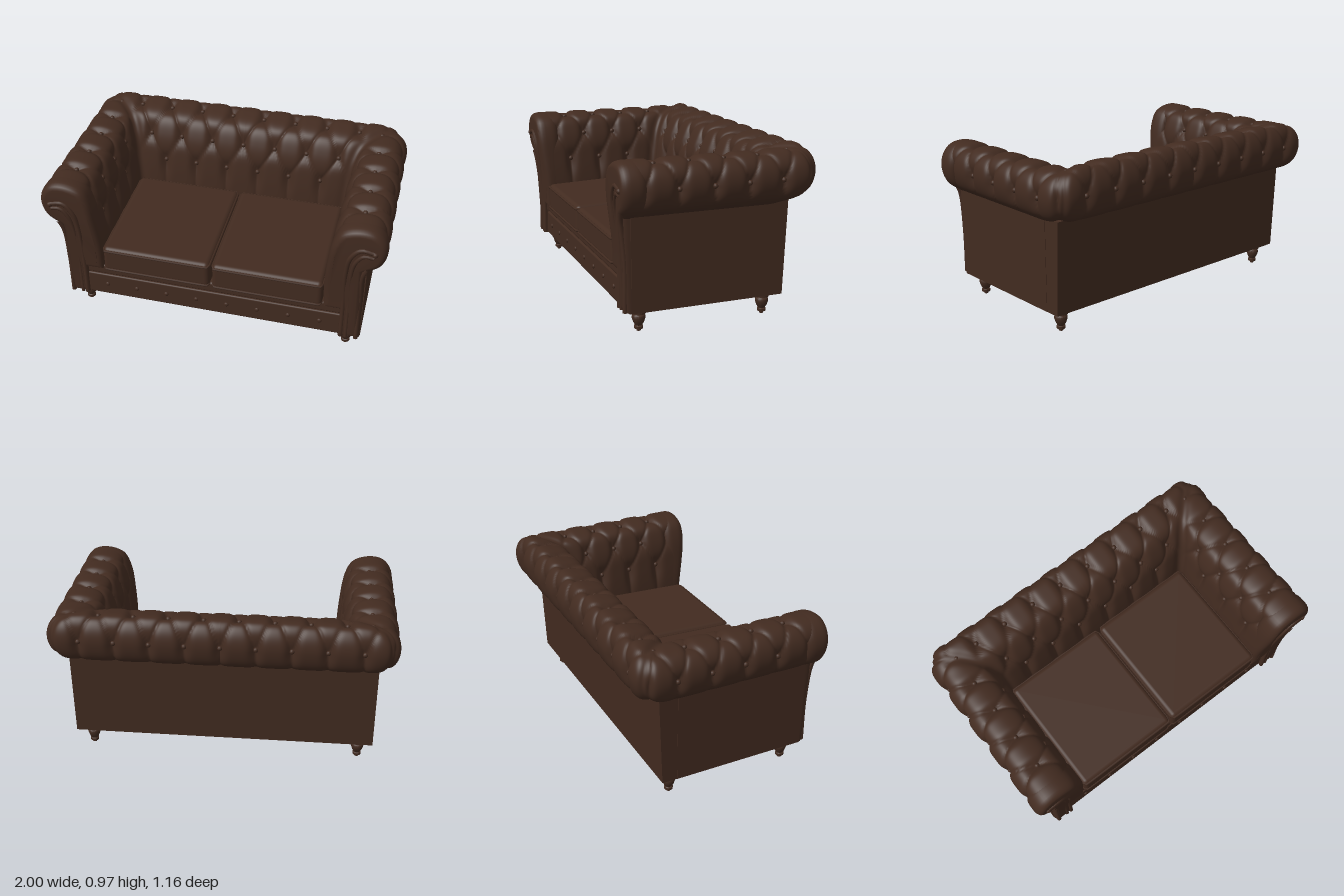
import * as THREE from 'three';
import { mergeVertices, toCreasedNormals } from 'three/addons/utils/BufferGeometryUtils.js';
import { RoundedBoxGeometry } from 'three/addons/geometries/RoundedBoxGeometry.js';

const leather = new THREE.MeshStandardMaterial({ color: 0x422b20 });
leather.name = 'brown leather';

const smooth = THREE.MathUtils.smoothstep;
const curve = (pts) => new THREE.CatmullRomCurve3(pts.map(([a, b, c = 0]) => new THREE.Vector3(a, b, c)));

// Matching roll profiles (distance outwards, height) for the arms and the back
const armProfile = curve([[0.67, 0.33], [0.665, 0.5], [0.675, 0.66], [0.7, 0.83], [0.745, 0.915], [0.84, 0.95],
  [0.93, 0.938], [0.985, 0.88], [1.0, 0.8], [0.97, 0.71], [0.89, 0.65]]);
const backProfile = curve([[0.22, 0.33], [0.22, 0.5], [0.235, 0.66], [0.27, 0.83], [0.33, 0.93], [0.43, 0.965],
  [0.51, 0.967], [0.56, 0.91], [0.578, 0.82], [0.54, 0.71], [0.41, 0.65]]);
const SPAN = 10;
const PITCH = 0.2;
const ROW_AT = [8, 5, 3, 2]; // profile position of each button row, outside to inside
const ROLL_FRONT = 0.48;

function mesh(name, geometry, parent, x = 0, y = 0, z = 0) {
  const m = new THREE.Mesh(geometry, leather);
  m.name = name;
  m.position.set(x, y, z);
  parent.add(m);
  return m;
}

function rowOf(i) {
  if (i >= 8) return 0;
  if (i >= 5) return (8 - i) / 3;
  if (i >= 3) return 1 + (5 - i) / 2;
  return Math.min(3, 2 + (3 - i));
}

// Depth of the diamond tufting: creases along the diagonals, deep at the buttons
function tuftDepth(i, along) {
  const row = rowOf(i);
  const p = along + row / 2, q = along - row / 2;
  const dp = Math.abs(p - Math.round(p)), dq = Math.abs(q - Math.round(q));
  const beyond = Math.max(0, i - 8, 2 - i);
  const pleat = 0.013 * Math.exp(-Math.min(dp, dq) / 0.07);
  const dimple = 0.026 * Math.exp(-(dp * dp + dq * dq) / 0.05) * Math.exp(-((beyond * 1.5) ** 2));
  return (pleat + dimple) * (1 - smooth(i, 9, 10));
}

// Half of the U-shaped tufted roll: from the arm front, round the corner, to the middle of the back
function tuftedRollGeometry() {
  const NT = 90, NS = 110, pos = [], depth = [], index = [];
  for (let ti = 0; ti <= NT; ti++) {
    const t = ti / NT, i = t * SPAN;
    const arm = armProfile.getPoint(t), back = backProfile.getPoint(t);
    const X = arm.x, Z = back.x, r = 0.03 + 0.11 * smooth(i, 4, 8);
    for (let s = 0; s <= 2 * NS; s++) {
      const u = s <= NS ? -(ROLL_FRONT + Z) * (1 - s / NS) : X * (s / NS - 1);
      let x = u < 0 ? X : X - u, z = u < 0 ? -Z - u : -Z;
      const along = u < 0 ? (z - 0.05) / PITCH : x / PITCH;
      if (Math.abs(u) < r) {
        const w = (u + r) / (2 * r);
        x = X - r * w * w;
        z = -Z + r * (1 - w) * (1 - w);
      }
      pos.push(x, THREE.MathUtils.lerp(arm.y, back.y, smooth(u, -0.15, 0.15)), z);
      const seam = Math.exp(-((u / 0.04) ** 2));
      depth.push(tuftDepth(i, along) * (1 - seam) + 0.014 * seam);
      if (ti < NT && s < 2 * NS) {
        const a = ti * (2 * NS + 1) + s, b = a + 2 * NS + 1;
        index.push(a, b, a + 1, b, b + 1, a + 1);
      }
    }
  }
  const g = new THREE.BufferGeometry();
  g.setAttribute('position', new THREE.Float32BufferAttribute(pos, 3));
  g.setIndex(index);
  g.computeVertexNormals();
  const P = g.attributes.position, N = g.attributes.normal;
  for (let k = 0; k < P.count; k++) {
    P.setXYZ(k, P.getX(k) - N.getX(k) * depth[k], P.getY(k) - N.getY(k) * depth[k], P.getZ(k) - N.getZ(k) * depth[k]);
  }
  g.computeVertexNormals();
  return g;
}

// Buttons sunk into every crossing of the tufting
function addTuftButtons(parent) {
  const ball = new THREE.SphereGeometry(0.015, 10, 8);
  const sunk = (profile, i) => {
    const p = profile.getPoint(i / SPAN), d = profile.getTangent(i / SPAN);
    return [p.x + d.y * 0.032, p.y - d.x * 0.032];
  };
  ROW_AT.forEach((i, row) => {
    const [ax, ay] = sunk(armProfile, i), [bz, by] = sunk(backProfile, i);
    const shift = (row % 2) * PITCH / 2;
    for (let z = 0.45 - shift; z > -bz + 0.06; z -= PITCH) mesh('tuftButton', ball, parent, ax, ay, z);
    for (let x = shift; x < ax - 0.06; x += PITCH) mesh('tuftButton', ball, parent, x, by, -bz);
  });
  mesh('cornerButton', ball, parent, 0.84, 0.935, -0.43);
}

// The arm front leans forward towards the scroll
const lean = (y) => 0.045 * smooth(y, 0.4, 0.85);

function armFrontGeometry() {
  const outline = armProfile.getPoints(50).map((p) => new THREE.Vector2(p.x, p.y));
  outline.push(new THREE.Vector2(0.895, 0.13), new THREE.Vector2(0.77, 0.13), new THREE.Vector2(0.77, 0.33));
  let g = new THREE.ExtrudeGeometry(new THREE.Shape(outline), {
    depth: 0.025, bevelThickness: 0.035, bevelSize: 0.035, bevelOffset: -0.035, bevelSegments: 5, steps: 1 });
  g.translate(0, 0, 0.465);
  const P = g.attributes.position;
  for (let k = 0; k < P.count; k++) {
    P.setZ(k, P.getZ(k) + lean(P.getY(k)) * (P.getZ(k) - 0.43) / 0.095);
  }
  g.deleteAttribute('uv');
  g.deleteAttribute('normal');
  g = mergeVertices(g, 1e-4);
  return toCreasedNormals(g, 0.7);
}

function frontPiping(points, radius) {
  const path = curve(points.map(([x, y]) => [x, y, 0.518 + lean(y)]));
  return new THREE.TubeGeometry(path, 40, radius, 8);
}

function cushionGeometry() {
  const g = new RoundedBoxGeometry(0.655, 0.17, 0.74, 4, 0.03);
  const P = g.attributes.position;
  for (let k = 0; k < P.count; k++) {
    if (P.getY(k) > 0) P.setY(k, P.getY(k) + 0.025 * (0.5 - P.getZ(k) / 0.74));
  }
  return g;
}

function cushionPiping(y, tilt) {
  const w = 0.325, d = 0.368, c = 0.025, pts = [];
  for (const [x, z] of [[w, d - c], [w - c, d], [c - w, d], [-w, d - c], [-w, c - d], [c - w, -d], [w - c, -d], [w, c - d]]) {
    pts.push(new THREE.Vector3(x, y + tilt * (0.5 - z / 0.74), z));
  }
  return new THREE.TubeGeometry(new THREE.CatmullRomCurve3(pts, true, 'catmullrom', 0.1), 96, 0.008, 6, true);
}

export function createModel() {
  const sofa = new THREE.Group();
  sofa.name = 'sofa';

  // Body: seat base, tapered back panel and front rails
  mesh('seatBase', new THREE.BoxGeometry(1.5, 0.21, 0.85), sofa, 0, 0.235, 0.065);
  const backPanel = new THREE.BoxGeometry(1.79, 0.54, 0.12);
  const B = backPanel.attributes.position;
  for (let k = 0; k < B.count; k++) if (B.getY(k) < 0) B.setZ(k, B.getZ(k) + 0.022);
  backPanel.computeVertexNormals();
  mesh('backPanel', backPanel, sofa, 0, 0.4, -0.362);
  mesh('lowerRail', new RoundedBoxGeometry(1.56, 0.152, 0.06, 3, 0.01), sofa, 0, 0.206, 0.475);
  mesh('upperRail', new RoundedBoxGeometry(1.56, 0.07, 0.06, 3, 0.015), sofa, 0, 0.317, 0.47);
  for (let k = 0; k < 8; k++) {
    const stud = mesh('railButton', new THREE.SphereGeometry(0.014, 10, 8), sofa, (k - 3.5) * 0.187, 0.21, 0.506);
    stud.scale.z = 0.6;
  }

  // One side, then its mirror image
  const half = new THREE.Group();
  half.name = 'leftHalf';
  mesh('tuftedRoll', tuftedRollGeometry(), half);
  addTuftButtons(half);
  mesh('sidePanel', new THREE.BoxGeometry(0.165, 0.54, 0.8), half, 0.8145, 0.4, 0.09);
  mesh('armFront', armFrontGeometry(), half);
  mesh('scrollPiping', frontPiping([[0.785, 0.135], [0.785, 0.4], [0.785, 0.64], [0.805, 0.76], [0.86, 0.825], [0.93, 0.815]], 0.014), half);
  mesh('innerScrollPiping', frontPiping([[0.815, 0.135], [0.815, 0.4], [0.815, 0.62], [0.835, 0.73], [0.88, 0.785], [0.93, 0.78]], 0.012), half);
  mesh('outerPiping', frontPiping([[0.875, 0.135], [0.875, 0.4], [0.878, 0.62], [0.9, 0.69]], 0.014), half);
  mesh('scrollButton', new THREE.SphereGeometry(0.016, 10, 8), half, 0.935, 0.81, 0.566);

  // Seat cushion with piped edges
  mesh('cushion', cushionGeometry(), half, 0.335, 0.415, 0.15);
  mesh('cushionTopPiping', cushionPiping(0.065, 0.025), half, 0.335, 0.415, 0.15);
  mesh('cushionBottomPiping', cushionPiping(-0.07, 0), half, 0.335, 0.415, 0.15);

  // Turned legs
  const legProfile = [[0, 0], [0.012, 0], [0.013, 0.012], [0.025, 0.014], [0.025, 0.028], [0.019, 0.032], [0.03, 0.05],
    [0.038, 0.075], [0.036, 0.088], [0.027, 0.096], [0.04, 0.1], [0.04, 0.11], [0.029, 0.114], [0.037, 0.12], [0.037, 0.14]];
  const leg = toCreasedNormals(new THREE.LatheGeometry(legProfile.map(([r, y]) => new THREE.Vector2(r, y)), 20), 0.7);
  for (const z of [0.42, -0.32]) mesh('leg', leg, half, 0.81, 0, z);

  const mirrored = half.clone();
  mirrored.name = 'rightHalf';
  mirrored.scale.x = -1;
  sofa.add(half, mirrored);
  return sofa;
}
